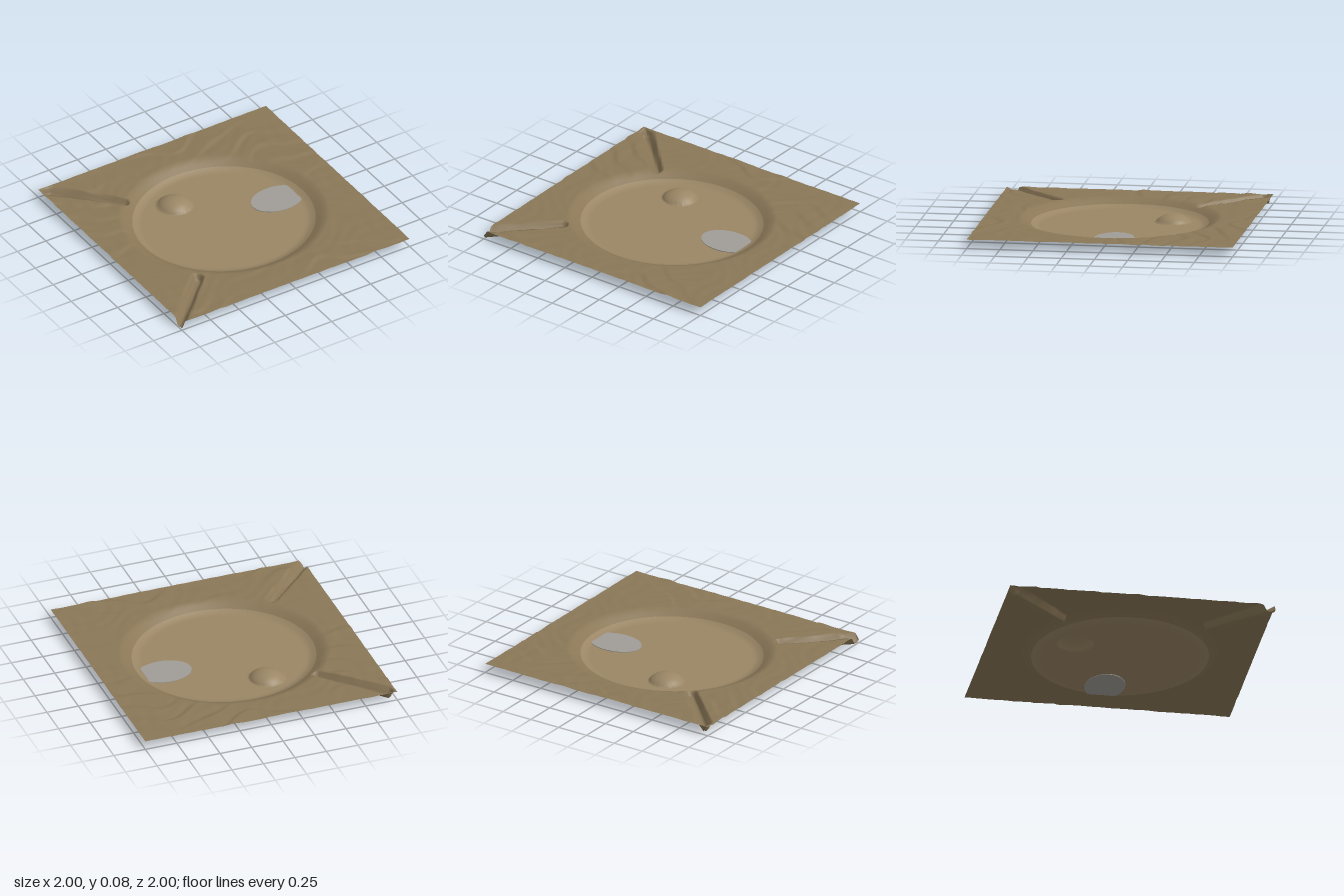
import * as THREE from 'three';

const RX = 0.69, RZ = 0.66;            // basin rim radii
const FLOOR = 0.006, LAND = 0.07;      // heights of basin floor and plain
const SEG = 400;                       // steps around, shared by basin and plain
const trenches = [
  { a: [-0.94, -0.95], b: [-0.54, -0.54] },
  { a: [-1.0, 0.97], b: [-0.59, 0.57] },
];
const smooth = THREE.MathUtils.smoothstep;
const mix = THREE.MathUtils.lerp;

// Distance from a point to a trench centre line
function trenchDistance(x, z, { a, b }) {
  const dx = b[0] - a[0], dz = b[1] - a[1];
  const t = THREE.MathUtils.clamp(((x - a[0]) * dx + (z - a[1]) * dz) / (dx * dx + dz * dz), 0, 1);
  return Math.hypot(x - a[0] - t * dx, z - a[1] - t * dz);
}

// Wind-worn ledges: a soft rise followed by a short drop, along wavy lines
function ripples(x, z) {
  const warp = 0.5 * Math.sin(3.1 * x + 1.7 * z) + 0.3 * Math.sin(7.3 * x - 2.9 * z + 1) + 0.15 * Math.sin(15 * x + 4 * z);
  const p = 5 * z + warp;
  const f = p - Math.floor(p);
  const ledge = f < 0.82 ? f / 0.82 : (1 - f) / 0.18;
  const patch = 0.5 + 0.5 * Math.sin(4.3 * x + 2.1 * Math.sin(3.7 * z));
  const grain = Math.sin(23 * x + 4 * Math.sin(9 * z)) * Math.sin(21 * z + 3 * Math.sin(11 * x));
  return 0.009 * (ledge - 0.5) * patch + 0.0018 * grain;
}

// Height of the ground
function height(x, z) {
  const s = Math.hypot(x / RX, z / RZ);
  const rise = smooth(s, 0.9, 1.15);
  let y = mix(FLOOR, LAND, rise) + ripples(x, z) * smooth(s, 1.0, 1.25);
  y += 0.001 * Math.sin(7 * x + 1) * Math.sin(8 * z + 2 * x) * (1 - rise);
  // round mound on the basin floor
  const d = Math.hypot(x + 0.2, z + 0.37) / 0.13;
  if (d < 1) y += 0.06 * Math.pow(1 - d * d, 0.7);
  // straight trenches with flat bottoms
  for (const t of trenches) {
    const cut = 1 - smooth(trenchDistance(x, z, t), 0.022, 0.045);
    const bottom = 0.012 + 0.008 * (1 - smooth(Math.hypot(x, z), 1.0, 1.35));
    y = mix(y, Math.min(y, bottom), cut);
  }
  return Math.max(y, 0);
}

// Ground sheet of rings; place(angle, v) gives [x, z] for v from 0 (inner) to 1 (outer)
function groundSheet(rings, place) {
  const pos = [], index = [];
  for (let j = 0; j <= rings; j++) {
    for (let i = 0; i < SEG; i++) {
      const [x, z] = place((i / SEG) * Math.PI * 2, j / rings);
      pos.push(x, height(x, z), z);
      if (j === rings) continue;
      const n = (i + 1) % SEG;
      const a = j * SEG + i, b = j * SEG + n, c = a + SEG, d = b + SEG;
      index.push(a, b, c, b, d, c);
    }
  }
  const g = new THREE.BufferGeometry();
  g.setAttribute('position', new THREE.Float32BufferAttribute(pos, 3));
  g.setIndex(index);
  g.computeVertexNormals();
  return g;
}

function addMesh(group, name, geometry, color) {
  const material = new THREE.MeshStandardMaterial({ color, side: THREE.DoubleSide });
  const mesh = new THREE.Mesh(geometry, material);
  mesh.name = name;
  group.add(mesh);
  return mesh;
}

export function createModel() {
  const group = new THREE.Group();
  group.name = 'craterTerrain';

  // Square plain around the basin, from the rim out to the straight edges
  addMesh(group, 'rockyPlain', groundSheet(100, (t, v) => {
    const c = Math.cos(t), s = Math.sin(t), k = 1 / Math.max(Math.abs(c), Math.abs(s));
    return [mix(RX * c, k * c, v), mix(RZ * s, k * s, v)];
  }), 0x8a7757);

  // Smooth basin floor with the mound
  addMesh(group, 'basinFloor', groundSheet(48, (t, v) => {
    const r = Math.max(v, 0.0005);
    return [RX * r * Math.cos(t), RZ * r * Math.sin(t)];
  }), 0x9a8665);

  // Pond: a thin oval slab, cut straight where it meets the basin wall
  const outline = [];
  for (let i = 0; i < 64; i++) {
    const t = (i / 64) * Math.PI * 2;
    outline.push(new THREE.Vector2(Math.min(0.485 + 0.21 * Math.cos(t), 0.64), 0.03 + 0.15 * Math.sin(t)));
  }
  const pond = new THREE.ExtrudeGeometry(new THREE.Shape(outline), { depth: 0.01, bevelEnabled: false });
  pond.rotateX(-Math.PI / 2);
  pond.translate(0, 0.001, 0);
  addMesh(group, 'pond', pond, 0xa09c96);

  return group;
}
